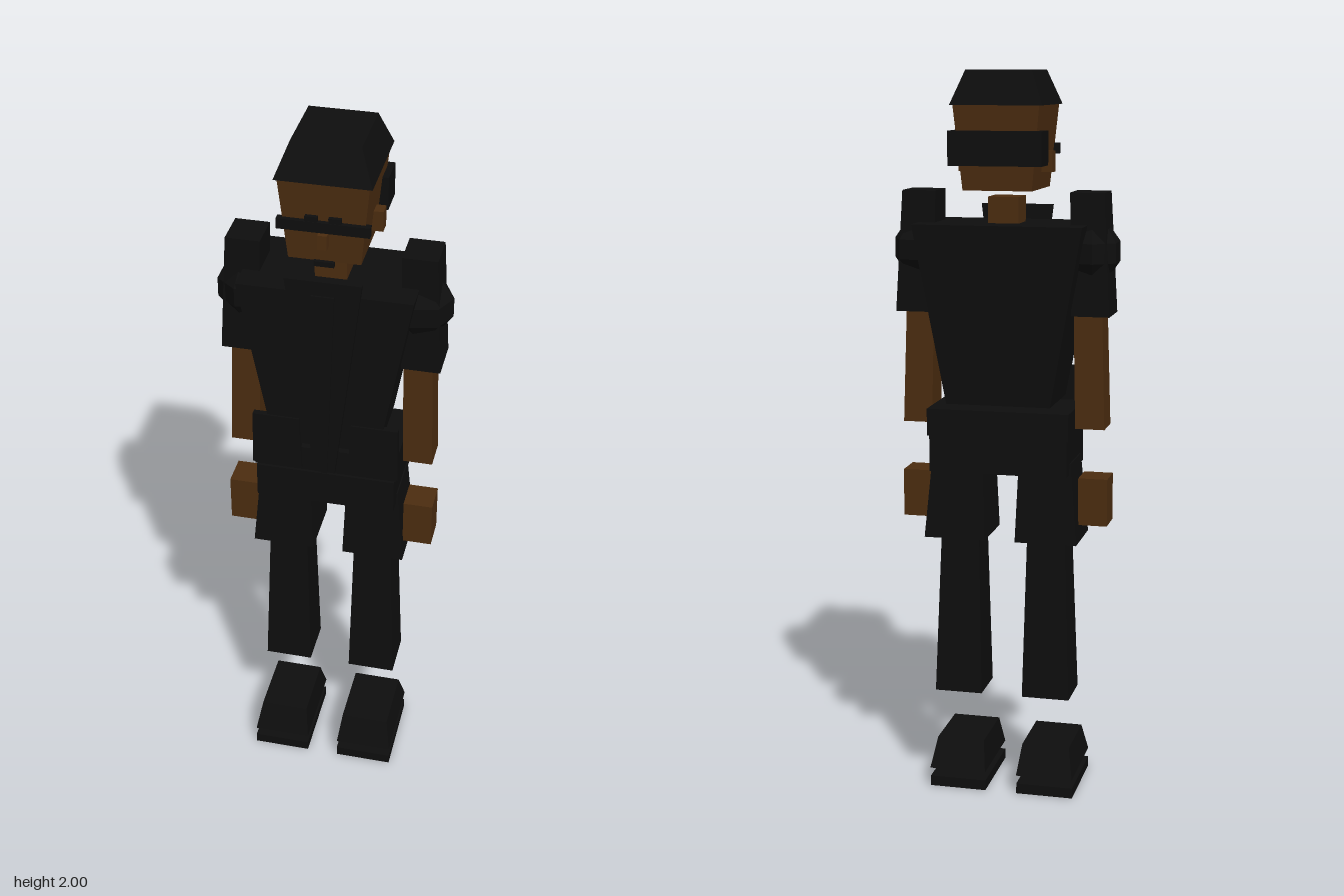
import * as THREE from 'three';

const black = new THREE.MeshStandardMaterial({ color: 0x0e0e0e });
black.name = 'black cloth';
const skin = new THREE.MeshStandardMaterial({ color: 0x4c2d10 });
skin.name = 'brown skin';

// Tapered block: bottom and top rectangles are [x0, x1, z0, z1]
function block(name, material, y0, y1, bottom, top = bottom) {
  const geo = new THREE.BoxGeometry(1, 1, 1);
  const p = geo.attributes.position;
  for (let i = 0; i < p.count; i++) {
    const r = p.getY(i) > 0 ? top : bottom;
    p.setXYZ(i, p.getX(i) > 0 ? r[1] : r[0], p.getY(i) > 0 ? y1 : y0, p.getZ(i) > 0 ? r[3] : r[2]);
  }
  geo.computeVertexNormals();
  const mesh = new THREE.Mesh(geo, material);
  mesh.name = name;
  return mesh;
}

// Mirrors a rectangle to the other side of the body
const flip = (r, s) => (s > 0 ? r : [-r[1], -r[0], r[2], r[3]]);

export function createModel() {
  const model = new THREE.Group();
  model.name = 'figure';
  const add = (...args) => model.add(block(...args));

  // Head
  add('head', skin, 1.69, 1.91, [-0.093, 0.093, -0.125, 0.1], [-0.115, 0.115, -0.14, 0.113]);
  add('cap', black, 1.91, 2, [-0.123, 0.123, -0.145, 0.12], [-0.088, 0.088, -0.11, 0.08]);
  add('backHair', black, 1.755, 1.845, [-0.125, 0.125, -0.157, -0.072]);
  add('nose', skin, 1.735, 1.775, [-0.012, 0.012, 0.09, 0.127]);
  add('glasses', black, 1.778, 1.806, [-0.118, 0.118, 0.1, 0.119]);
  add('goatee', black, 1.678, 1.692, [-0.026, 0.026, 0.096, 0.11]);
  add('neck', skin, 1.58, 1.67, [-0.042, 0.042, -0.055, 0.03]);

  // Torso and waist
  add('torso', black, 1.118, 1.6, [-0.143, 0.143, -0.12, 0.1], [-0.23, 0.23, -0.142, 0.112]);
  add('shirtFront', black, 1.04, 1.64, [-0.028, 0.028, 0.1, 0.113], [-0.1, 0.1, 0.108, 0.122]);
  add('shirtPlacket', black, 1.04, 1.6, [-0.008, 0.008, 0.111, 0.117], [-0.03, 0.03, 0.12, 0.127]);
  add('belt', black, 1.03, 1.104, [-0.195, 0.195, -0.13, 0.1]);
  add('hips', black, 0.93, 1.03, [-0.19, 0.19, -0.125, 0.107]);

  for (const s of [1, -1]) {
    const side = s > 0 ? 'left' : 'right';
    const pair = (name, mat, y0, y1, b, t = b) => add(side + name, mat, y0, y1, flip(b, s), flip(t, s));

    // Face details
    pair('Ear', skin, 1.735, 1.79, [0.095, 0.128, -0.032, 0.004]);
    pair('Brow', black, 1.806, 1.82, [0.014, 0.046, 0.102, 0.118]);

    // Vest flap
    pair('VestFlap', black, 1.04, 1.2, [0.064, 0.2, 0.088, 0.106], [0.07, 0.197, 0.09, 0.108]);

    // Arm
    pair('Sleeve', black, 1.36, 1.685, [0.19, 0.293, -0.078, 0.045], [0.183, 0.275, -0.067, 0.035]);
    pair('Forearm', skin, 1.053, 1.36, [0.2, 0.28, -0.06, 0.033], [0.193, 0.27, -0.056, 0.029]);
    pair('Hand', skin, 0.782, 0.913, [0.207, 0.287, -0.045, 0.043]);

    // Faceted shoulder pad
    const ballGeo = new THREE.SphereGeometry(0.086, 7, 5).toNonIndexed();
    ballGeo.computeVertexNormals();
    const ball = new THREE.Mesh(ballGeo, black);
    ball.name = side + 'ShoulderPad';
    ball.position.set(0.23 * s, 1.527, -0.016);
    ball.rotation.y = Math.PI;
    model.add(ball);

    // Leg
    pair('ShortsLeg', black, 0.737, 0.96, [0.042, 0.213, -0.1, 0.075], [0.05, 0.193, -0.085, 0.063]);
    pair('LowerLeg', black, 0.285, 0.737, [0.058, 0.191, -0.077, 0.055], [0.068, 0.175, -0.06, 0.04]);

    // Shoe with separate sole
    pair('Shoe', black, 0.055, 0.138, [0.045, 0.205, -0.093, 0.156], [0.056, 0.19, -0.06, 0.124]);
    pair('Sole', black, 0, 0.029, [0.045, 0.205, -0.088, 0.156]);
  }

  // Small sideways offset of the whole body
  model.children.forEach((m) => { m.position.x -= 0.004; });
  return model;
}
